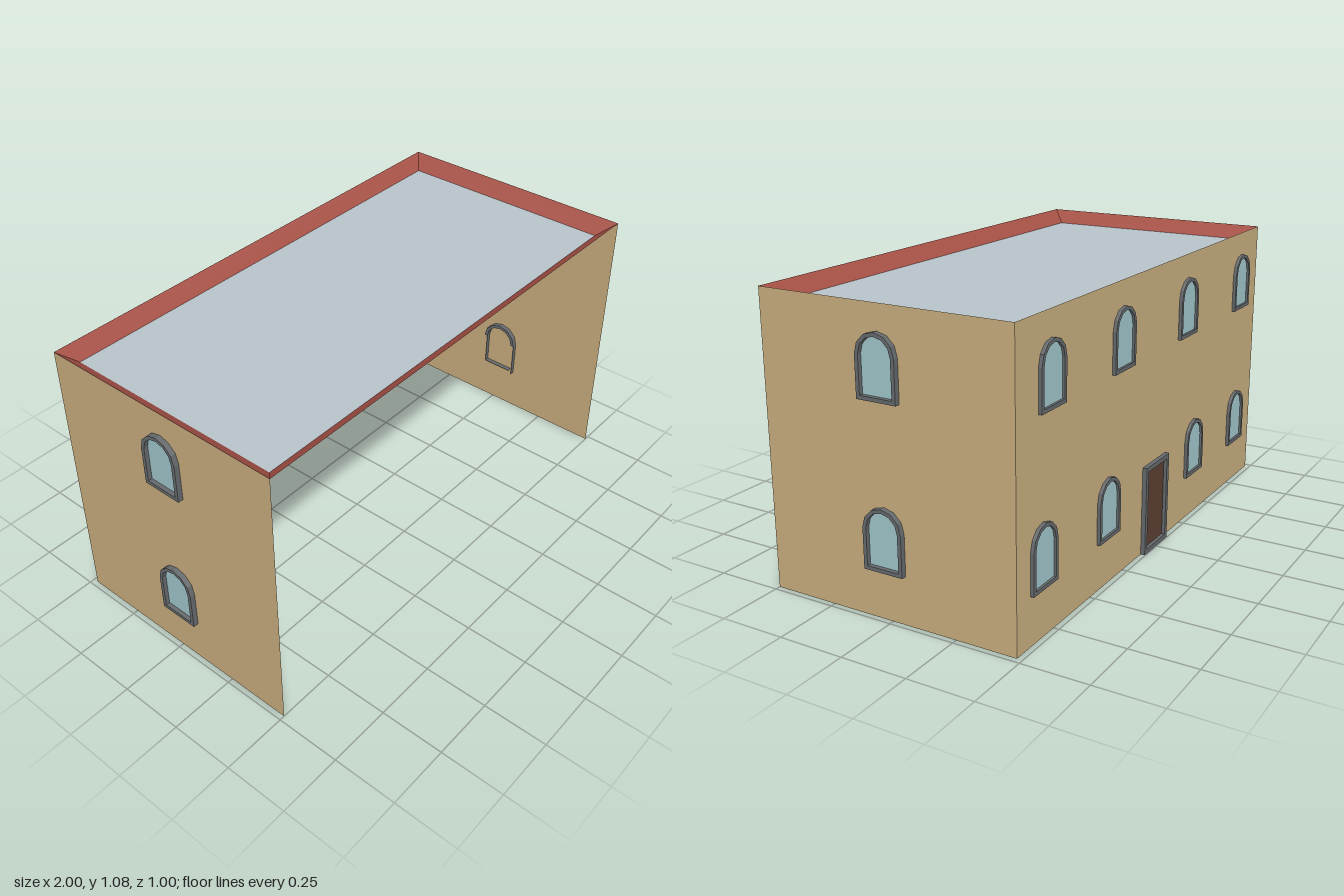
import * as THREE from 'three';

const mat = (color, side = THREE.FrontSide) =>
  new THREE.MeshStandardMaterial({ color, side, flatShading: true });

const M = {
  wall: mat(0xc8ad7f, THREE.DoubleSide),
  roof: mat(0xb8c2ca, THREE.DoubleSide),
  coping: mat(0xa55045, THREE.DoubleSide),
  frame: mat(0x666a6c),
  glass: mat(0xa0c6cb),
  door: mat(0x5c4033),
};

// Main dimensions: half width, back, front, wall height, roof height
const HX = 0.98, ZB = -0.48, ZF = 0.5, H = 1.08, ROOF = 1.03;

function add(parent, name, geometry, material) {
  const mesh = new THREE.Mesh(geometry, material);
  mesh.name = name;
  parent.add(mesh);
  return mesh;
}

const polygon = (points) => new THREE.Shape(points.map(([x, y]) => new THREE.Vector2(x, y)));

// Extrude a shape from z0 to z1, optionally leaving the z0 end open
function prism(shape, z0, z1, openBack = false) {
  const geo = new THREE.ExtrudeGeometry(shape, { depth: z1 - z0, bevelEnabled: false });
  const src = geo.attributes.position;
  const out = [];
  for (let i = 0; i < src.count; i += 3) {
    const isBack = [0, 1, 2].every((k) => src.getZ(i + k) < 1e-6);
    if (openBack && isBack) continue;
    for (let k = 0; k < 3; k++) out.push(src.getX(i + k), src.getY(i + k), src.getZ(i + k) + z0);
  }
  const result = new THREE.BufferGeometry();
  result.setAttribute('position', new THREE.Float32BufferAttribute(out, 3));
  result.computeVertexNormals();
  return result;
}

// Points of a faceted half circle, from right to left
function arc(r, cy, n = 6) {
  return Array.from({ length: n + 1 }, (_, i) => {
    const a = (i / n) * Math.PI;
    return [r * Math.cos(a), cy + r * Math.sin(a)];
  });
}

// Arched window: sill at y = 0, outside towards +z, wall plane at z = 0
function archedWindow(outDepth, inDepth) {
  const R = 0.077, t = 0.014, r = R - t, spring = 0.149;
  const g = new THREE.Group();
  g.name = 'archedWindow';
  const lower = polygon([
    [-R, 0], [R, 0], [R, spring], [r, spring], [r, t], [-r, t], [-r, spring], [-R, spring],
  ]);
  add(g, 'windowJambsAndSill', prism(lower, -inDepth, outDepth, true), M.frame);
  const arch = polygon([...arc(R, spring), ...arc(r, spring).reverse()]);
  add(g, 'windowArch', prism(arch, -inDepth, outDepth), M.frame);
  const pane = polygon([[-r, t], [r, t], ...arc(r, spring)]);
  add(g, 'windowGlass', new THREE.ShapeGeometry(pane), M.glass).position.z = 0.004;
  return g;
}

// Door with a closed rectangular frame
function framedDoor() {
  const w = 0.097, h = 0.345, t = 0.018;
  const g = new THREE.Group();
  g.name = 'door';
  const rim = polygon([[-w, 0], [w, 0], [w, h], [-w, h]]);
  rim.holes.push(polygon([[-w + t, t], [-w + t, h - t], [w - t, h - t], [w - t, t]]));
  add(g, 'doorFrame', prism(rim, -0.025, 0.017, true), M.frame);
  const leaf = new THREE.PlaneGeometry(2 * (w - t), h - 2 * t);
  add(g, 'doorLeaf', leaf, M.door).position.set(0, h / 2, 0.004);
  return g;
}

// Sloping coping strips between the wall tops and the roof
function copingGeometry() {
  const outer = [[-HX, ZB], [-HX, ZF], [HX, ZF], [HX, ZB]];
  const inner = [[-0.92, -0.43], [-0.92, 0.438], [0.92, 0.438], [0.92, -0.43]];
  const pos = [];
  for (let i = 0; i < 4; i++) {
    const j = (i + 1) % 4;
    const a = [outer[i][0], H, outer[i][1]], b = [outer[j][0], H, outer[j][1]];
    const c = [inner[j][0], ROOF, inner[j][1]], d = [inner[i][0], ROOF, inner[i][1]];
    pos.push(...a, ...b, ...c, ...a, ...c, ...d);
  }
  const geo = new THREE.BufferGeometry();
  geo.setAttribute('position', new THREE.Float32BufferAttribute(pos, 3));
  geo.computeVertexNormals();
  return geo;
}

export function createModel() {
  const model = new THREE.Group();
  model.name = 'building';
  const rows = [0.177, 0.764];

  // Back wall, door and windows; the front is open
  const back = add(model, 'backWall', new THREE.PlaneGeometry(2 * HX, H), M.wall);
  back.position.set(0, H / 2, ZB);
  back.rotation.y = Math.PI;
  const columns = [[-0.8, -0.36, 0.375, 0.82], [-0.8, -0.26, 0.28, 0.77]];
  columns.forEach((xs, row) => xs.forEach((x) => {
    const win = archedWindow(0.013, 0.025);
    win.position.set(x, rows[row], ZB);
    win.rotation.y = Math.PI;
    model.add(win);
  }));
  const door = framedDoor();
  door.position.set(0, 0, ZB);
  door.rotation.y = Math.PI;
  model.add(door);

  // Side walls, each with one window per floor
  for (const s of [-1, 1]) {
    const wall = add(model, s > 0 ? 'leftWall' : 'rightWall', new THREE.PlaneGeometry(ZF - ZB, H), M.wall);
    wall.position.set(s * HX, H / 2, (ZF + ZB) / 2);
    wall.rotation.y = s * Math.PI / 2;
    for (const y of rows) {
      const win = archedWindow(0.02, 0.02);
      win.position.set(s * HX, y, 0.02);
      win.rotation.y = s * Math.PI / 2;
      model.add(win);
    }
  }

  // Flat roof and its coping
  const roof = add(model, 'roof', new THREE.PlaneGeometry(1.84, 0.868), M.roof);
  roof.position.set(0, ROOF, 0.004);
  roof.rotation.x = -Math.PI / 2;
  add(model, 'roofCoping', copingGeometry(), M.coping);
  return model;
}
